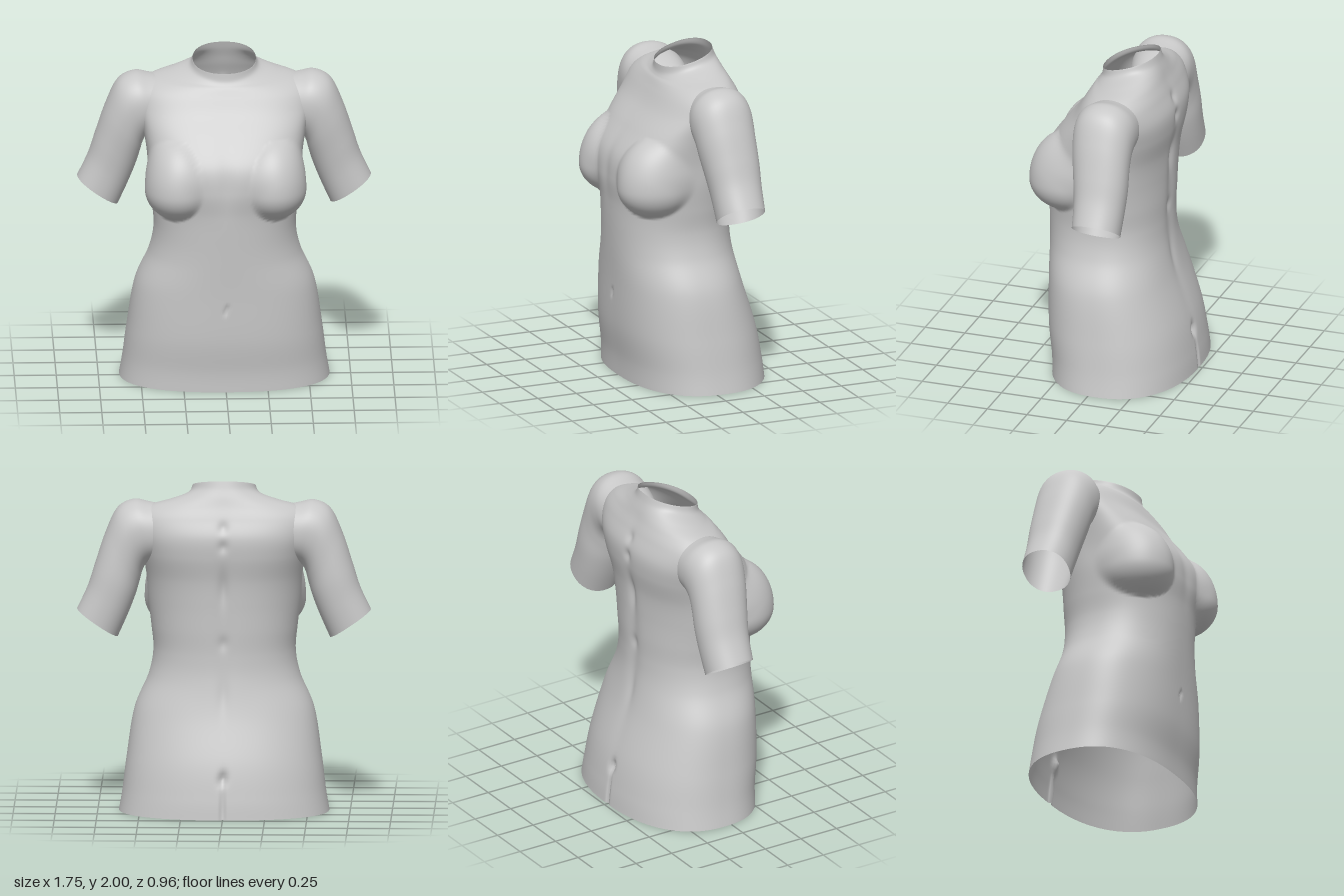
import * as THREE from 'three';

const TAU = Math.PI * 2;

// Smooth interpolation through a short table of cross-sections, t in 0..1
function sample(rows, t) {
  const f = t * (rows.length - 1);
  const i = Math.min(Math.floor(f), rows.length - 2);
  const u = f - i;
  const at = (k) => rows[Math.max(0, Math.min(rows.length - 1, k))];
  return rows[i].map((b, c) => {
    const a = at(i - 1)[c], d = at(i + 1)[c], e = at(i + 2)[c];
    return b + 0.5 * u * (d - a + u * (2 * a - 5 * b + 4 * d - e + u * (3 * (b - d) + e - a)));
  });
}

// Open tube skinned over closed rings; point(t, angle) gives [x, y, z]
function loft(rings, segs, point, flip = false) {
  const pos = [], index = [];
  for (let i = 0; i <= rings; i++) {
    for (let j = 0; j < segs; j++) {
      pos.push(...point(i / rings, (j / segs) * TAU));
      if (i === rings) continue;
      const a = i * segs + j, b = i * segs + ((j + 1) % segs);
      const c = a + segs, d = b + segs;
      if (flip) index.push(a, b, c, b, d, c);
      else index.push(a, c, b, b, c, d);
    }
  }
  const g = new THREE.BufferGeometry();
  g.setAttribute('position', new THREE.Float32BufferAttribute(pos, 3));
  g.setIndex(index);
  g.computeVertexNormals();
  return g;
}

// Superellipse radius along a direction
const superRadius = (c, s, w, d, n) =>
  Math.pow(Math.pow(Math.abs(c) / w, n) + Math.pow(Math.abs(s) / d, n), -1 / n);

const smoothMax = (a, b, k) => {
  const h = Math.max(k - Math.abs(a - b), 0) / k;
  return Math.max(a, b) + h * h * k * 0.25;
};

// Torso sections: y, half width, front z, back z, middle z, front and back squareness, tilt
const TORSO = [
  [0.00, 0.625, 0.37, -0.48, -0.05, 2.4, 2.3, 0],
  [0.12, 0.605, 0.375, -0.467, -0.04, 2.4, 2.3, 0],
  [0.32, 0.58, 0.40, -0.43, -0.02, 2.4, 2.3, 0],
  [0.60, 0.535, 0.41, -0.345, 0.02, 2.3, 2.3, 0],
  [0.80, 0.452, 0.42, -0.305, 0.04, 2.2, 2.2, 0],
  [0.95, 0.423, 0.428, -0.295, 0.05, 2.15, 2.2, 0],
  [1.10, 0.435, 0.437, -0.30, 0.05, 2.1, 2.2, 0],
  [1.25, 0.452, 0.45, -0.305, 0.04, 2.35, 2.2, 0],
  [1.40, 0.462, 0.425, -0.315, 0.01, 2.8, 2.3, 0],
  [1.55, 0.485, 0.325, -0.34, -0.02, 2.9, 2.5, 0],
  [1.67, 0.51, 0.228, -0.342, -0.05, 2.8, 2.5, 0],
  [1.77, 0.515, 0.17, -0.305, -0.07, 2.5, 2.4, 0.02],
  [1.83, 0.455, 0.142, -0.275, -0.075, 2.1, 2.1, 0.08],
  [1.868, 0.32, 0.125, -0.255, -0.07, 2, 2, 0.18],
  [1.905, 0.215, 0.115, -0.235, -0.06, 2.1, 2.1, 0.27],
  [1.95, 0.188, 0.11, -0.22, -0.055, 2.2, 2.2, 0.3],
];

// Shallow hollows: side (1 front, -1 back), y, x spread, y spread, depth
const HOLLOWS = [
  [1, 0.515, 0.012, 0.015, 0.02],
  [1, 1.3, 0.05, 0.16, 0.008],
  [-1, 1.1, 0.06, 0.55, 0.012],
  [-1, 1.73, 0.03, 0.03, 0.012],
  [-1, 1.62, 0.03, 0.035, 0.014],
  [-1, 1.36, 0.03, 0.1, 0.016],
  [-1, 1.03, 0.03, 0.04, 0.01],
  [-1, 0.72, 0.03, 0.1, 0.007],
  [-1, 0.24, 0.025, 0.035, 0.03],
  [-1, 0.05, 0.01, 0.13, 0.02],
];

const BUST = { x: 0.28, y: 1.235, z: 0.25, w: 0.2, d: 0.232, up: 0.3, down: 0.185 };

// Distance along a ray to the far side of the bust volume, 0 if missed
function bustRadius(c, s, y, zc) {
  const dy = (y - BUST.y) / (y > BUST.y ? BUST.up : BUST.down);
  if (Math.abs(dy) >= 1) return 0;
  const k = Math.sqrt(1 - dy * dy);
  const cx = BUST.x / (BUST.w * k), cz = (BUST.z - zc) / (BUST.d * k);
  const dx = Math.abs(c) / (BUST.w * k), dz = s / (BUST.d * k);
  const A = dx * dx + dz * dz, B = dx * cx + dz * cz;
  const D = B * B - A * (cx * cx + cz * cz - 1);
  return D > 0 && B > 0 ? (B + Math.sqrt(D)) / A : 0;
}

function torsoPoint(t, angle) {
  const [y, w, front, back, zc, nFront, nBack, tilt] = sample(TORSO, t);
  const c = Math.cos(angle), s = Math.sin(angle);
  let r = s > 0 ? superRadius(c, s, w, front - zc, nFront) : superRadius(c, s, w, zc - back, nBack);
  const softness = 0.025 + 0.055 * THREE.MathUtils.smoothstep(y, 1.12, 1.35);
  r = smoothMax(r, bustRadius(c, s, y, zc), softness);
  const x = c * r;
  for (const [side, hy, sx, sy, depth] of HOLLOWS) {
    if (side * s > 0) r -= depth * Math.exp(-((x / sx) ** 2) - ((y - hy) / sy) ** 2);
  }
  const z = zc + s * r;
  return [c * r, y - tilt * (z + 0.055), z];
}

// Arm sections, starting inside the chest: outer x, y, inner x, y, middle z, half depth
const ARM = [
  [0.18, 1.77, 0.20, 1.58, -0.085, 0.11],
  [0.33, 1.825, 0.32, 1.54, -0.08, 0.152],
  [0.45, 1.853, 0.41, 1.51, -0.075, 0.177],
  [0.54, 1.866, 0.46, 1.485, -0.07, 0.185],
  [0.635, 1.815, 0.485, 1.44, -0.07, 0.182],
  [0.705, 1.67, 0.5, 1.385, -0.075, 0.175],
  [0.765, 1.49, 0.527, 1.295, -0.088, 0.165],
  [0.81, 1.35, 0.572, 1.18, -0.095, 0.153],
  [0.873, 1.215, 0.63, 1.05, -0.097, 0.145],
];

const armPoint = (side) => (t, angle) => {
  const [ox, oy, ix, iy, z, d] = sample(ARM, t);
  const c = Math.cos(angle), s = Math.sin(angle);
  const r = superRadius(c, s, 1, 1, 2.2);
  const u = 0.5 + 0.5 * c * r;
  return [side * (ix + (ox - ix) * u), iy + (oy - iy) * u, z + d * s * r];
};

export function createModel() {
  const model = new THREE.Group();
  model.name = 'torsoSculpture';
  const clay = new THREE.MeshStandardMaterial({ color: 0xc8c8c8, side: THREE.DoubleSide });
  clay.name = 'grey clay';

  const add = (name, geometry) => {
    const mesh = new THREE.Mesh(geometry, clay);
    mesh.name = name;
    model.add(mesh);
  };

  // Hollow torso, open at the hips and neck
  add('torso', loft(150, 180, torsoPoint));

  // Upper arms, open at the ends
  add('leftArm', loft(56, 56, armPoint(1), true));
  add('rightArm', loft(56, 56, armPoint(-1)));
  return model;
}
